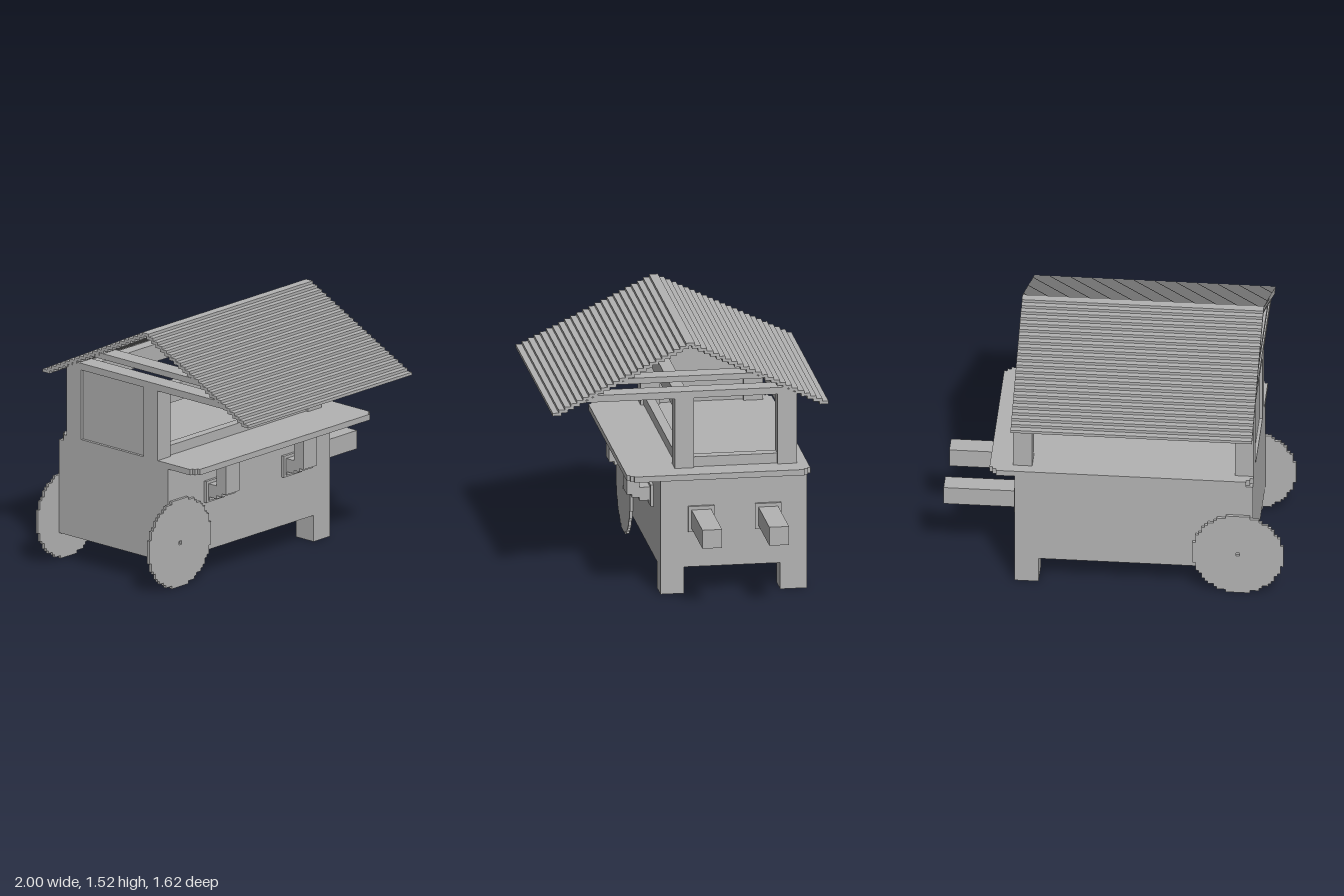
import * as THREE from 'three';

const STEP = 2 / 113; // size of one stair step in the blocky style

export function createModel() {
  const cart = new THREE.Group();
  cart.name = 'marketCart';
  const grey = new THREE.MeshStandardMaterial({ color: 0xb2b2b2 });
  grey.name = 'plainGrey';

  const add = (name, geometry) => {
    const mesh = new THREE.Mesh(geometry, grey);
    mesh.name = name;
    cart.add(mesh);
    return mesh;
  };
  // Box given by its limits on each axis
  const box = (name, x0, x1, y0, y1, z0, z1) => {
    const g = new THREE.BoxGeometry(x1 - x0, y1 - y0, z1 - z0);
    g.translate((x0 + x1) / 2, (y0 + y1) / 2, (z0 + z1) / 2);
    return add(name, g);
  };
  const shapeOf = (pts) => new THREE.Shape(pts.map(([a, b]) => new THREE.Vector2(a, b)));
  // Extrudes a [z, y] profile from x0 to x1
  const alongX = (name, pts, x0, x1) => {
    const g = new THREE.ExtrudeGeometry(shapeOf(pts), { depth: x1 - x0, bevelEnabled: false });
    g.rotateY(-Math.PI / 2);
    g.translate(x1, 0, 0);
    return add(name, g);
  };

  // Body and its two legs at the handle end
  box('body', -0.82, 0.57, 0.16, 0.73, -0.687, 0.175);
  box('frontLeg', 0.43, 0.57, 0, 0.16, 0.037, 0.175);
  box('backLeg', 0.43, 0.57, 0, 0.16, -0.687, -0.53);

  // Counter with stair-stepped corners
  const cx = -0.05, cz = -0.15, hx = 0.77, hz = 0.54;
  const corner = [[0, 0.04], [0.018, 0.04], [0.018, 0.018], [0.04, 0.018], [0.04, 0]];
  const counter = [];
  for (const [sx, sz] of [[1, 1], [-1, 1], [-1, -1], [1, -1]]) {
    const steps = corner.map(([a, b]) => [cx + sx * (hx - a), -cz + sz * (hz - b)]);
    counter.push(...(sx * sz > 0 ? steps : steps.reverse()));
  }
  const counterGeo = new THREE.ExtrudeGeometry(shapeOf(counter), { depth: 0.035, bevelEnabled: false });
  counterGeo.rotateX(-Math.PI / 2);
  counterGeo.translate(0, 0.73, 0);
  add('counter', counterGeo);

  // Stepped wheels with a small axle hole
  const R = 15;
  const halfWidth = (k) => Math.floor(Math.sqrt(R * R - (k + 0.5) ** 2) + 0.5);
  const rim = [];
  for (let k = -R; k < R; k++) rim.push([halfWidth(k), k], [halfWidth(k), k + 1]);
  for (let k = R - 1; k >= -R; k--) rim.push([-halfWidth(k), k + 1], [-halfWidth(k), k]);
  const outline = rim
    .map(([a, b]) => [a * STEP, b * STEP])
    .filter((p, i, all) => i === 0 || p[0] !== all[i - 1][0] || p[1] !== all[i - 1][1]);
  for (const [name, z] of [['frontWheel', 0.175], ['backWheel', -0.687 - STEP]]) {
    const disc = shapeOf(outline);
    const h = 0.011;
    disc.holes.push(new THREE.Path([[-h, -h], [-h, h], [h, h], [h, -h]].map(([a, b]) => new THREE.Vector2(a, b))));
    const g = new THREE.ExtrudeGeometry(disc, { depth: STEP, bevelEnabled: false });
    g.translate(-1 + R * STEP, R * STEP, z);
    add(name, g);
  }

  // Handles with their mounting plates
  for (const z of [-0.063, -0.457]) {
    box('handlePlate', 0.57, 0.587, 0.375, 0.53, z - 0.077, z + 0.077);
    box('handle', 0.57, 1, 0.397, 0.509, z - 0.058, z + 0.058);
  }

  // Hooked brackets holding up the counter front
  const hook = [
    [0.175, 0.468], [0.2, 0.468], [0.2, 0.49], [0.256, 0.49], [0.256, 0.51], [0.3, 0.51],
    [0.3, 0.53], [0.33, 0.53], [0.33, 0.73], [0.256, 0.73], [0.256, 0.57], [0.175, 0.57],
  ];
  for (const x of [-0.433, 0.233]) {
    box('bracketPlate', x - 0.078, x + 0.078, 0.457, 0.587, 0.175, 0.193);
    alongX('bracket', hook, x - 0.058, x + 0.058);
  }

  // Posts, and gable beams across each end
  const ends = [[-0.82, -0.71], [0.473, 0.585]];
  for (const [x0, x1] of ends) {
    box('frontPost', x0, x1, 0.765, 1.19, -0.02, 0.093);
    box('backPost', x0, x1, 0.765, 1.19, -0.626, -0.513);
    alongX('lowerGableBeam', [[-0.63, 1.189], [0.63, 1.189], [0.55, 1.23], [-0.55, 1.23]], x0, x1);
    alongX('upperGableBeam', [[-0.43, 1.29], [0.43, 1.29], [0.36, 1.325], [-0.36, 1.325]], x0, x1);
  }

  // Long beams under the roof, low rails and the closed left wall
  box('frontBeam', -0.71, 0.473, 1.083, 1.19, 0.0, 0.075);
  box('backBeam', -0.71, 0.473, 1.083, 1.19, -0.606, -0.533);
  box('frontRail', -0.71, 0.473, 0.765, 0.825, 0.02, 0.075);
  box('sideRail', 0.5, 0.565, 0.765, 0.825, -0.513, -0.02);
  box('sideWall', -0.802, -0.74, 0.765, 1.19, -0.513, -0.02);

  // Stair-stepped gable roof: overlapping courses on both slopes
  const COURSES = 23, RUN = 0.0357, HALF = 0.0265, TOP = 1.523;
  const outer = [], inner = [];
  for (let i = 0; i < COURSES; i++) {
    const top = TOP - i * STEP;
    outer.push([i * RUN + HALF, top], [i * RUN + HALF, top - STEP]);
    if (i > 0) inner.push([i * RUN - HALF, top], [i * RUN - HALF, top - STEP]);
  }
  const mirror = (pts) => pts.map(([z, y]) => [-z, y]);
  const roof = [
    ...outer, ...[...inner].reverse(),
    ...mirror(inner), ...mirror(outer).reverse(),
  ];
  alongX('roof', roof, -0.825, 0.585);

  return cart;
}
